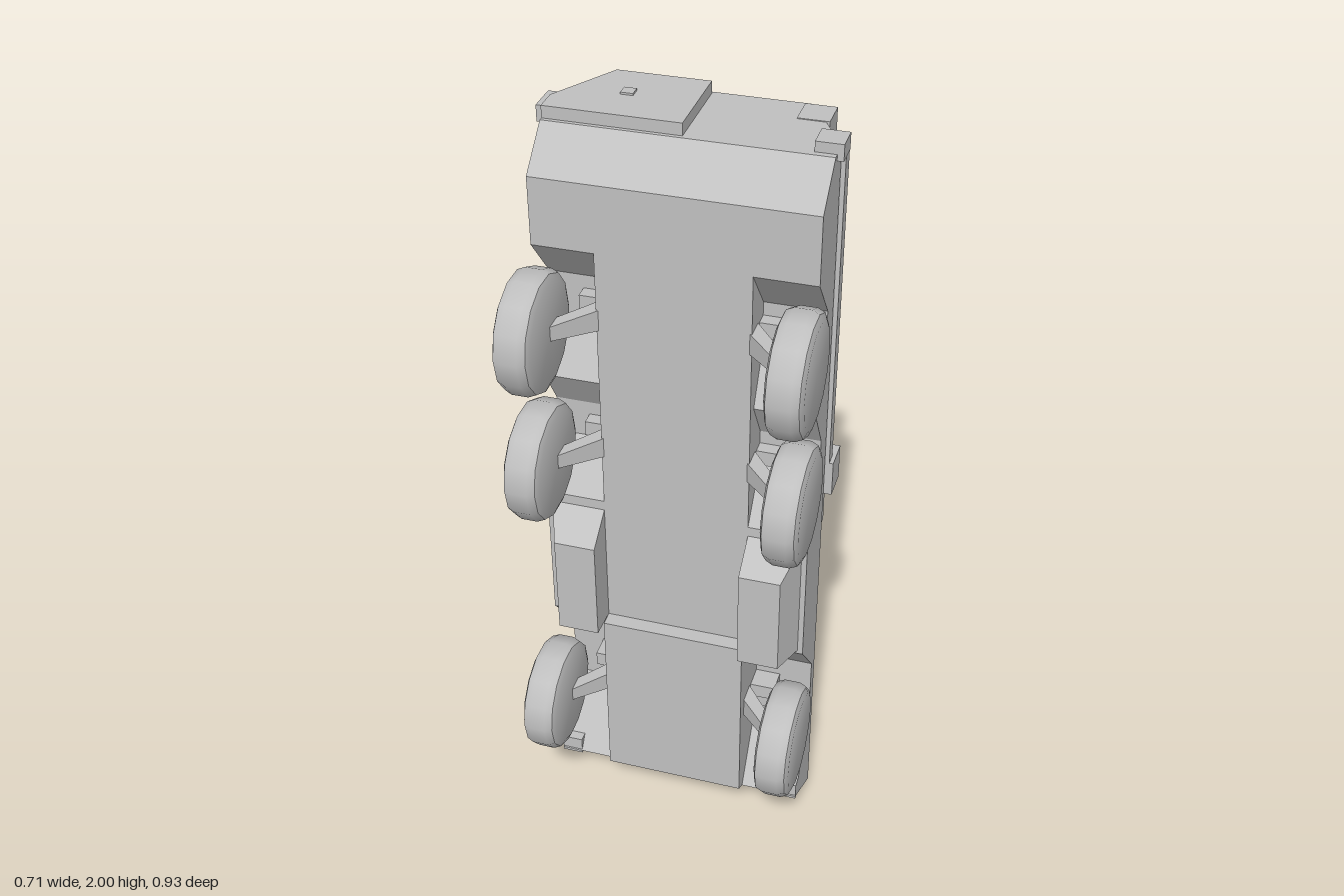
import * as THREE from 'three';
import { toCreasedNormals } from 'three/addons/utils/BufferGeometryUtils.js';
import { ConvexGeometry } from 'three/addons/geometries/ConvexGeometry.js';

export function createModel() {
  const model = new THREE.Group();
  model.name = 'armouredCarrier';
  const grey = new THREE.MeshStandardMaterial({ color: 0xc0c0c0 });
  grey.name = 'plain grey';

  const add = (name, geo) => {
    const m = new THREE.Mesh(geo, grey);
    m.name = name;
    model.add(m);
    return m;
  };
  // Box from its min and max corners
  const box = (name, x0, x1, y0, y1, z0, z1) => {
    const m = add(name, new THREE.BoxGeometry(x1 - x0, y1 - y0, z1 - z0));
    m.position.set((x0 + x1) / 2, (y0 + y1) / 2, (z0 + z1) / 2);
    return m;
  };
  // Convex solid; mirrored points are given once for x > 0
  const convex = (name, pts, mirror = true) => {
    const v = [];
    for (const [x, y, z] of pts) {
      v.push(new THREE.Vector3(x, y, z));
      if (mirror) v.push(new THREE.Vector3(-x, y, z));
    }
    return add(name, new ConvexGeometry(v));
  };
  // Side profile of [z, y] points, extruded from x0 to x1
  const slab = (name, profile, x0, x1) => {
    const shape = new THREE.Shape(profile.map(([z, y]) => new THREE.Vector2(z, y)));
    const g = new THREE.ExtrudeGeometry(shape, { depth: x1 - x0, bevelEnabled: false });
    g.rotateY(-Math.PI / 2).translate(x1, 0, 0);
    return add(name, g);
  };
  // Cylinder standing out of the roof along z
  const roofDisc = (name, x, y, z0, z1, r, sides = 8) => {
    const g = new THREE.CylinderGeometry(r, r, Math.abs(z1 - z0), sides).toNonIndexed();
    g.rotateY(Math.PI / sides).rotateX(Math.PI / 2);
    g.computeVertexNormals();
    const m = add(name, g);
    m.position.set(x, y, (z0 + z1) / 2);
    return m;
  };

  // Hull: sloped upper body, belly and sponsons with wheel wells
  convex('upperHull', [
    [0.335, 0, 0.07], [0.335, 0.012, 0.09], [0.335, 1.96, 0.09], [0.335, 1.96, 0.07],
    [0.23, 1.96, -0.12], [0.23, 0.56, -0.12],
  ]);
  slab('belly', [
    [0.09, 0.012], [0.27, 0.12], [0.27, 0.63], [0.23, 0.63], [0.23, 1.87], [0.13, 1.96], [0.09, 1.96],
  ], -0.185, 0.185);
  const sponson = [
    [0.09, 0.012], [0.237, 0.1], [0.105, 0.285], [0.105, 0.475], [0.23, 0.62], [0.23, 1],
    [0.13, 1.12], [0.13, 1.22], [0.2, 1.33], [0.13, 1.45], [0.13, 1.58], [0.23, 1.7],
    [0.23, 1.87], [0.13, 1.96], [0.09, 1.96],
  ];
  slab('leftSponson', sponson, 0.185, 0.335);
  slab('rightSponson', sponson, -0.335, -0.185);

  // Driver's housing rising from the sloped nose plate
  convex('driverHousing', [
    [0.12, 0.195, 0.003], [0.13, 0.28, -0.12], [0.23, 0.57, -0.121], [0.2, 0.5, -0.09],
  ]);

  // Wheels and slanted axle arms
  const tyre = [[0, -0.045], [0.125, -0.045], [0.142, -0.038], [0.15, -0.02], [0.15, 0.02],
    [0.142, 0.038], [0.125, 0.045], [0, 0.045]].map(([r, y]) => new THREE.Vector2(r, y));
  const wheelGeo = toCreasedNormals(new THREE.LatheGeometry(tyre, 14), 0.75);
  wheelGeo.rotateZ(Math.PI / 2);
  for (const s of [1, -1]) {
    for (const y of [0.395, 1.165, 1.525]) {
      add('wheel', wheelGeo).position.set(s * 0.311, y, 0.315);
      const arm = [];
      for (const d of [-1, 1]) {
        arm.push([s * 0.17, y + d * 0.028, 0.16], [s * 0.17, y + d * 0.028, 0.22],
          [s * 0.275, y + d * 0.018, 0.28], [s * 0.275, y + d * 0.018, 0.325]);
      }
      convex('axleArm', arm, false);
      box('axleStop', Math.min(s * 0.18, s * 0.25), Math.max(s * 0.18, s * 0.25), y - 0.02, y + 0.02, 0.1, 0.165);
    }
    // Stowage box between the wheels
    const bin = [];
    for (const [x, y, z] of [[0.185, 0.63, 0.22], [0.325, 0.63, 0.22], [0.185, 0.98, 0.22], [0.325, 0.98, 0.22],
      [0.185, 0.635, 0.316], [0.29, 0.635, 0.316], [0.185, 0.91, 0.316], [0.29, 0.91, 0.316]]) bin.push([s * x, y, z]);
    convex('sideBin', bin, false);

    // Small fittings along the hull shoulders
    const side = (name, x0, x1, ...r) => box(name, Math.min(s * x0, s * x1), Math.max(s * x0, s * x1), ...r);
    for (const y of [0.8, 1.035, 1.16, 1.29]) {
      side('shoulderBlock', 0.22, 0.28, y - 0.03, y + 0.03, -0.115, -0.065);
      side('shoulderStub', 0.255, 0.295, y - 0.013, y + 0.013, -0.07, -0.025);
    }
    side('rearLamp', 0.21, 0.285, 1.875, 1.962, -0.115, -0.035);
    side('tailLight', 0.28, 0.335, 0.09, 0.14, 0.19, 0.235);
    side('headlamp', 0.23, 0.27, 0.06, 0.1, 0.025, 0.06);
  }
  box('leftShoulderBox', 0.22, 0.29, 1.34, 1.41, -0.11, -0.04);
  box('sideRail', 0.315, 0.345, 1.1, 1.95, 0.03, 0.065);
  box('railEndBox', 0.29, 0.355, 1.015, 1.11, -0.015, 0.065);
  box('leftRearBox', 0.285, 0.35, 1.945, 1.985, 0.05, 0.115);
  box('rightRearBox', -0.355, -0.315, 1.94, 1.98, 0.02, 0.1);
  box('rightSideBox', -0.35, -0.3, 1.02, 1.07, 0.015, 0.065);

  // Rear door
  const door = [];
  for (const y of [1.95, 1.99]) {
    door.push([-0.335, y, 0.12], [-0.335, y, 0.06], [-0.235, y, -0.112], [-0.008, y, -0.112], [-0.008, y, 0.12]);
  }
  convex('rearDoor', door, false);
  box('doorHandle', -0.185, -0.155, 1.985, 1.995, -0.015, 0.015);

  // Roof hatch and vent
  box('roofHatch', -0.18, 0.18, 0.99, 1.345, -0.132, -0.115);
  box('roofHatchLid', -0.168, 0.168, 1.002, 1.333, -0.145, -0.13);
  roofDisc('roofVent', 0.135, 1.835, -0.11, -0.145, 0.085);
  roofDisc('roofVentCap', 0.135, 1.835, -0.14, -0.16, 0.065);

  // Turret
  const ring = new THREE.CylinderGeometry(0.2, 0.2, 0.07, 24).rotateX(Math.PI / 2);
  add('turretRing', ring).position.set(0, 0.65, -0.145);
  const section = (z, w, y0, y1, c) => [[w - c, y0, z], [w, y0 + c * 1.1, z], [w, y1 - c, z], [w - c * 0.7, y1, z]];
  convex('turretBody', [
    ...section(-0.165, 0.215, 0.435, 0.85, 0.09),
    ...section(-0.235, 0.205, 0.45, 0.85, 0.09),
    ...section(-0.3, 0.185, 0.57, 0.8, 0.06),
  ]);
  convex('turretRoof', [
    [0.2, 0.6, -0.285], [0.2, 0.76, -0.285], [0.2, 0.6, -0.32], [0.2, 0.76, -0.32],
    [0.192, 0.608, -0.328], [0.192, 0.752, -0.328],
  ]);
  const bustle = [];
  for (const z of [-0.23, -0.303]) bustle.push([0.17, 0.76, z], [0.17, 0.83, z], [0.125, 0.95, z]);
  convex('turretBustle', bustle);

  // Hatches on the turret, one with a raised lid
  roofDisc('gunnerHatch', 0.095, 0.68, -0.32, -0.343, 0.068);
  roofDisc('commanderHatch', -0.1, 0.68, -0.32, -0.345, 0.068);
  roofDisc('commanderHatchInner', -0.1, 0.68, -0.34, -0.358, 0.048);
  const lid = add('openLid', new THREE.CylinderGeometry(0.058, 0.058, 0.008, 8).rotateY(Math.PI / 8));
  lid.position.set(-0.098, 0.748, -0.41);
  lid.rotation.x = 0.24;
  box('lidHinge', -0.115, -0.08, 0.72, 0.74, -0.365, -0.325);
  box('roofPeriscope', -0.03, 0.03, 0.66, 0.7, -0.345, -0.32);

  // Side bins, launchers and sights
  for (const s of [1, -1]) {
    const b = box('turretBin', -0.033, 0.033, 0.66, 0.84, -0.28, -0.212);
    b.position.x = s * 0.237;
    for (const [i, y] of [0.79, 0.815, 0.84].entries()) {
      const t = add('smokeTube', new THREE.CylinderGeometry(0.011, 0.011, 0.07, 8));
      t.position.set(s * (0.2 + i * 0.012), y, -0.28);
      t.rotation.set(Math.PI / 2, 0, s * -0.45);
    }
  }
  box('gunSight', 0.08, 0.13, 0.54, 0.58, -0.31, -0.26);

  // Main gun
  box('mantlet', -0.045, 0.045, 0.385, 0.5, -0.275, -0.205);
  const barrel = (name, r, y0, y1) => {
    add(name, new THREE.CylinderGeometry(r, r, y1 - y0, 10)).position.set(0, (y0 + y1) / 2, -0.242);
  };
  barrel('barrelSleeve', 0.018, 0.365, 0.46);
  barrel('barrel', 0.01, 0.22, 0.4);
  return model;
}
